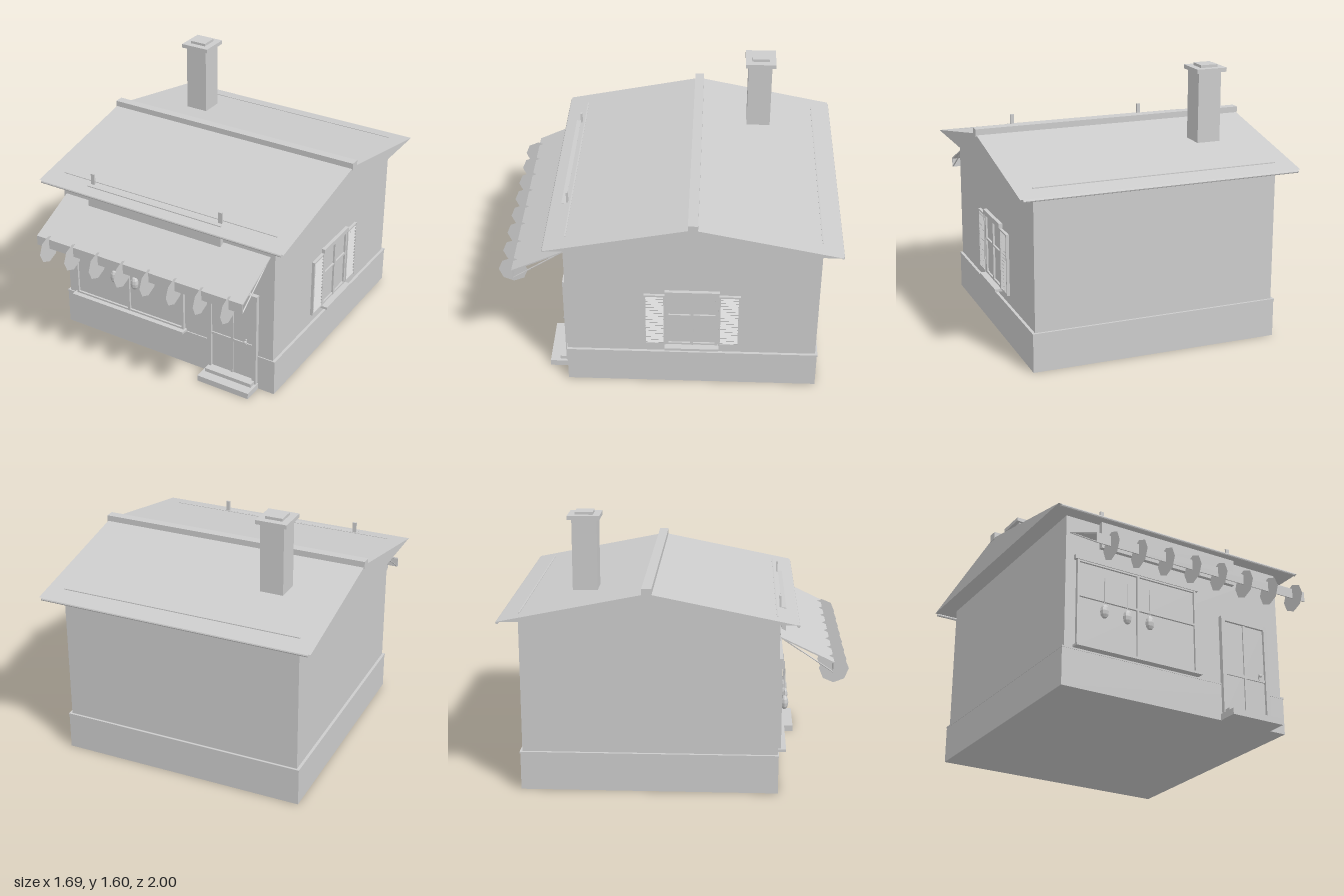
import * as THREE from 'three';

export function createModel() {
  const root = new THREE.Group();
  const plaster = new THREE.MeshStandardMaterial({ color: 0xcccccc, side: THREE.DoubleSide, flatShading: true });
  plaster.name = 'plainGrey';

  const add = (name, geometry, parent = root) => {
    const mesh = new THREE.Mesh(geometry, plaster);
    mesh.name = name;
    parent.add(mesh);
    return mesh;
  };
  // Box given by its extents along each axis
  const box = (name, x0, x1, y0, y1, z0, z1, parent) => {
    const mesh = add(name, new THREE.BoxGeometry(x1 - x0, y1 - y0, z1 - z0), parent);
    mesh.position.set((x0 + x1) / 2, (y0 + y1) / 2, (z0 + z1) / 2);
    return mesh;
  };
  // Thin round bar between two points
  const rod = (name, a, b, radius, parent, sides = 6) => {
    const from = new THREE.Vector3(...a), to = new THREE.Vector3(...b);
    const dir = to.clone().sub(from);
    const mesh = add(name, new THREE.CylinderGeometry(radius, radius, dir.length(), sides), parent);
    mesh.position.copy(from).add(to).multiplyScalar(0.5);
    mesh.quaternion.setFromUnitVectors(new THREE.Vector3(0, 1, 0), dir.normalize());
    return mesh;
  };
  // Side profile of [z, y] points extruded along x
  const profile = (name, points, x0, x1, parent) => {
    const shape = new THREE.Shape(points.map(([z, y]) => new THREE.Vector2(-z, y)));
    const g = new THREE.ExtrudeGeometry(shape, { depth: x1 - x0, bevelEnabled: false });
    g.rotateY(Math.PI / 2).translate(x0, 0, 0);
    return add(name, g, parent);
  };
  const group = (name) => {
    const g = new THREE.Group();
    g.name = name;
    root.add(g);
    return g;
  };

  // Walls and plinth
  box('walls', -0.735, 0.735, 0.2, 1.045, -0.885, 0.6);
  box('plinth', -0.75, 0.75, 0, 0.225, -0.895, 0.605);
  box('plinthTrim', -0.752, 0.752, 0.222, 0.232, -0.899, 0.607);

  // Solid gabled roof, ridge cap, gutters and the narrow bars on each slope
  const roof = group('roof');
  profile('roofPrism', [[0.7, 1.04], [-0.145, 1.21], [-0.99, 1.04]], -0.84, 0.84, roof);
  box('ridgeCap', -0.845, 0.845, 1.195, 1.24, -0.175, -0.118, roof);
  for (const z of [0.698, -0.988]) rod('gutter', [-0.825, 1.031, z], [0.825, 1.031, z], 0.009, roof, 8);
  for (const z of [0.582, -0.877]) box('roofBar', -0.735, 0.735, 1.05, 1.067, z - 0.004, z + 0.004, roof);

  // Chimney
  const chimney = group('chimney');
  box('chimneyStack', -0.516, -0.374, 1.147, 1.57, -0.597, -0.452, chimney);
  box('chimneyCap', -0.54, -0.354, 1.562, 1.586, -0.62, -0.434, chimney);
  box('chimneyTop', -0.499, -0.395, 1.58, 1.602, -0.58, -0.475, chimney);

  // Blank signboard and its posts
  const sign = group('signboard');
  box('signPanel', -0.525, 0.4, 0.875, 1.058, 0.612, 0.638, sign);
  for (const x of [-0.507, 0.38]) box('signPost', x - 0.012, x + 0.012, 0.98, 1.126, 0.599, 0.61, sign);

  // Sloping awning with valance, end stays and a row of discs
  const awning = group('awning');
  profile('awningCloth',
    [[0.605, 0.937], [0.91, 0.792], [0.91, 0.73], [0.904, 0.73], [0.904, 0.786], [0.605, 0.929]],
    -0.714, 0.708, awning);
  for (const x of [-0.71, 0.704]) rod('awningStay', [x, 0.933, 0.606], [x, 0.733, 0.906], 0.004, awning);
  for (let i = 0; i < 8; i++) {
    const disc = add('awningDisc', new THREE.CircleGeometry(0.086, 8), awning);
    disc.rotation.y = Math.PI / 2;
    disc.position.set(-0.625 + i * 0.1777, 0.73, 0.914);
  }

  // Display window: glass, frame, bars, sill and lintel
  const shop = group('displayWindow');
  box('glass', -0.66, 0.12, 0.25, 0.77, 0.598, 0.606, shop);
  for (const x of [-0.661, -0.27, 0.122]) box('uprightBar', x - 0.007, x + 0.007, 0.245, 0.775, 0.6, 0.62, shop);
  for (const y of [0.252, 0.553, 0.768]) box('crossBar', -0.655, 0.12, y - 0.006, y + 0.006, 0.6, 0.619, shop);
  box('shopSill', -0.683, 0.142, 0.233, 0.247, 0.6, 0.65, shop);
  box('shopLintel', -0.683, 0.142, 0.772, 0.798, 0.6, 0.624, shop);

  // Three hanging hams on strings
  for (const x of [-0.505, -0.356, -0.207]) {
    const ham = group('hangingHam');
    rod('string', [x, 0.5, 0.64], [x, 0.685, 0.64], 0.003, ham, 5);
    const meat = add('ham', new THREE.SphereGeometry(0.027, 8, 6), ham);
    meat.scale.set(1, 1.63, 0.85);
    meat.position.set(x, 0.477, 0.64);
  }

  // Front door with frame, glazing bars, handle and two steps
  const door = group('door');
  box('doorLeaf', 0.32, 0.615, 0.05, 0.635, 0.6, 0.612, door);
  for (const [a, b] of [[0.302, 0.328], [0.61, 0.637]]) box('doorJamb', a, b, 0.04, 0.655, 0.6, 0.628, door);
  box('doorHead', 0.328, 0.61, 0.629, 0.655, 0.6, 0.628, door);
  box('doorUpright', 0.462, 0.476, 0.063, 0.629, 0.61, 0.62, door);
  box('doorRail', 0.328, 0.61, 0.29, 0.306, 0.61, 0.62, door);
  rod('handlePlate', [0.567, 0.3, 0.622], [0.567, 0.336, 0.622], 0.006, door);
  const knob = add('doorKnob', new THREE.SphereGeometry(0.01, 8, 6), door);
  knob.position.set(0.567, 0.322, 0.634);
  box('lowerStep', 0.293, 0.643, 0, 0.038, 0.59, 0.727, door);
  box('upperStep', 0.309, 0.627, 0.038, 0.062, 0.59, 0.667, door);

  // Side window with panes, lintel and sill
  const side = group('sideWindow');
  box('sideGlass', 0.73, 0.738, 0.29, 0.67, -0.29, 0.005, side);
  for (const z of [0.002, -0.144, -0.291]) box('sideUpright', 0.73, 0.75, 0.29, 0.67, z - 0.009, z + 0.009, side);
  for (const y of [0.298, 0.513, 0.663]) box('sideCrossBar', 0.73, 0.749, y - 0.006, y + 0.006, -0.285, 0, side);
  box('sideLintel', 0.73, 0.757, 0.667, 0.695, -0.304, 0.017, side);
  box('sideSill', 0.73, 0.788, 0.275, 0.291, -0.304, 0.017, side);

  // Louvred shutters on both sides of the window
  for (const [z0, z1] of [[0.013, 0.14], [-0.428, -0.301]]) {
    const shutter = group('shutter');
    box('shutterBack', 0.73, 0.739, 0.29, 0.665, z0, z1, shutter);
    for (const z of [z0, z1 - 0.011]) box('shutterStile', 0.73, 0.753, 0.29, 0.665, z, z + 0.011, shutter);
    for (const y of [0.29, 0.654]) box('shutterRail', 0.73, 0.752, y, y + 0.011, z0 + 0.011, z1 - 0.011, shutter);
    for (let i = 0; i < 16; i++) {
      const y = 0.312 + i * 0.0222;
      const slat = box('slat', 0.736, 0.754, y - 0.0025, y + 0.0025, z0 + 0.011, z1 - 0.011, shutter);
      slat.rotation.z = -0.6;
    }
  }
  return root;
}
